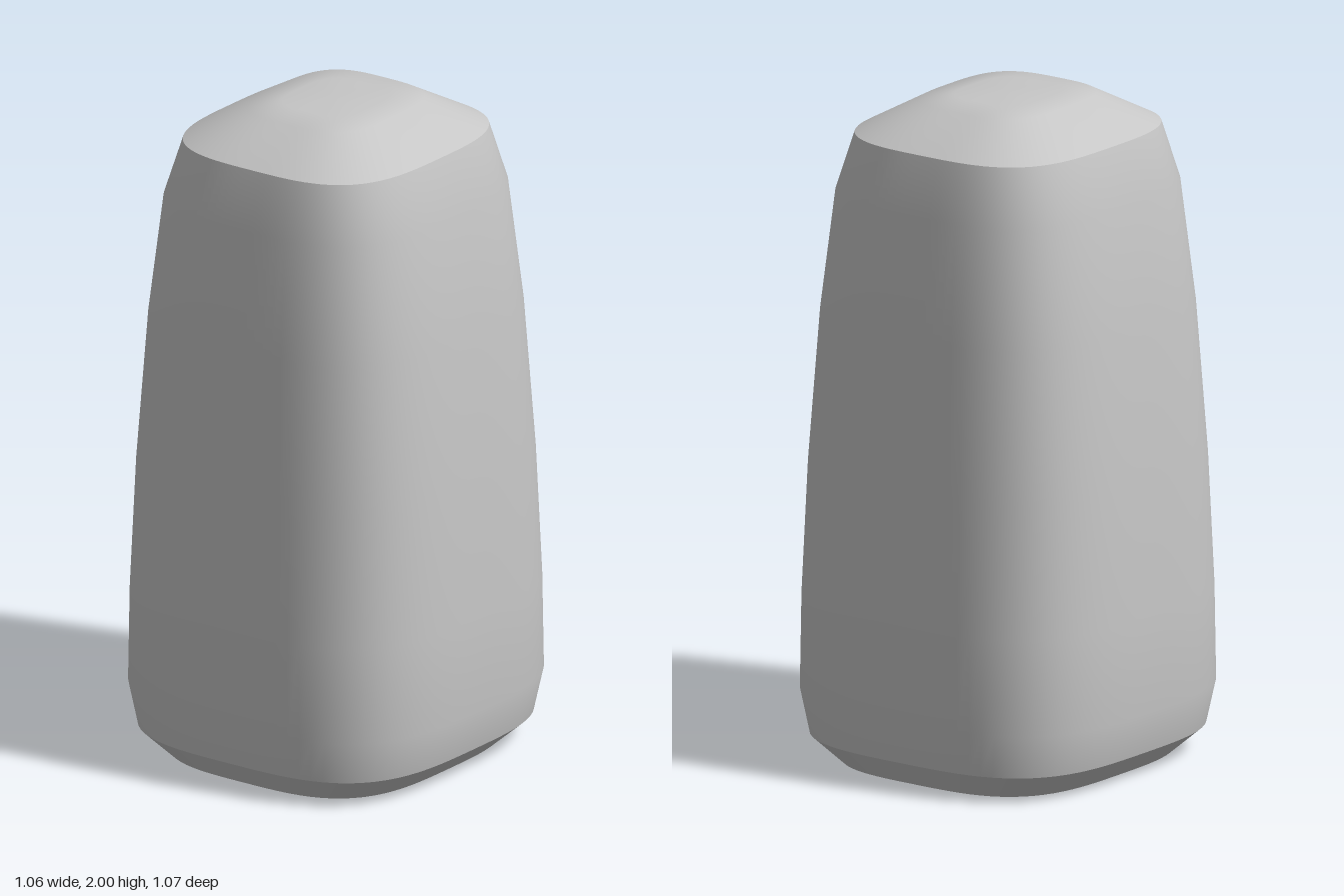
import * as THREE from 'three';

const SIDES = 96;
const ROUNDNESS = 3.3; // superellipse exponent of the cross-section

// Skin a stack of rounded-square rings: [height, half width, half depth]
function loft(rings) {
  const pos = [], index = [];
  for (const [y, hx, hz] of rings) {
    for (let j = 0; j < SIDES; j++) {
      const a = (j / SIDES) * Math.PI * 2;
      const c = Math.cos(a), s = Math.sin(a);
      const r = (Math.abs(c) ** ROUNDNESS + Math.abs(s) ** ROUNDNESS) ** (-1 / ROUNDNESS);
      pos.push(hx * r * c, y, hz * r * s);
    }
  }
  for (let i = 0; i < rings.length - 1; i++) {
    for (let j = 0; j < SIDES; j++) {
      const k = (j + 1) % SIDES;
      const a = i * SIDES + j, b = i * SIDES + k;
      const c = a + SIDES, d = b + SIDES;
      index.push(a, c, b, b, c, d);
    }
  }
  const geo = new THREE.BufferGeometry();
  geo.setAttribute('position', new THREE.Float32BufferAttribute(pos, 3));
  geo.setIndex(index);
  geo.computeVertexNormals();
  return geo;
}

export function createModel() {
  const group = new THREE.Group();
  group.name = 'taperedBlock';
  const grey = new THREE.MeshStandardMaterial({ color: 0xc6c6c6 });
  grey.name = 'plain grey';

  // Each part has its own normals, which keeps the rims between them sharp
  const parts = {
    underside: [[0, 0, 0], [0, 0.41, 0.45]],
    baseChamfer: [[0, 0.41, 0.45], [0.08, 0.5, 0.52]],
    body: [
      [0.08, 0.5, 0.52], [0.21, 0.53, 0.537], [0.5, 0.523, 0.537], [0.9, 0.51, 0.515],
      [1.36, 0.475, 0.49], [1.72, 0.433, 0.455], [1.895, 0.38, 0.412],
    ],
    domedCap: [[1.895, 0.38, 0.412], [1.988, 0.215, 0.245], [2, 0.13, 0.15], [2, 0, 0]],
  };
  for (const [name, rings] of Object.entries(parts)) {
    const mesh = new THREE.Mesh(loft(rings), grey);
    mesh.name = name;
    group.add(mesh);
  }
  return group;
}
